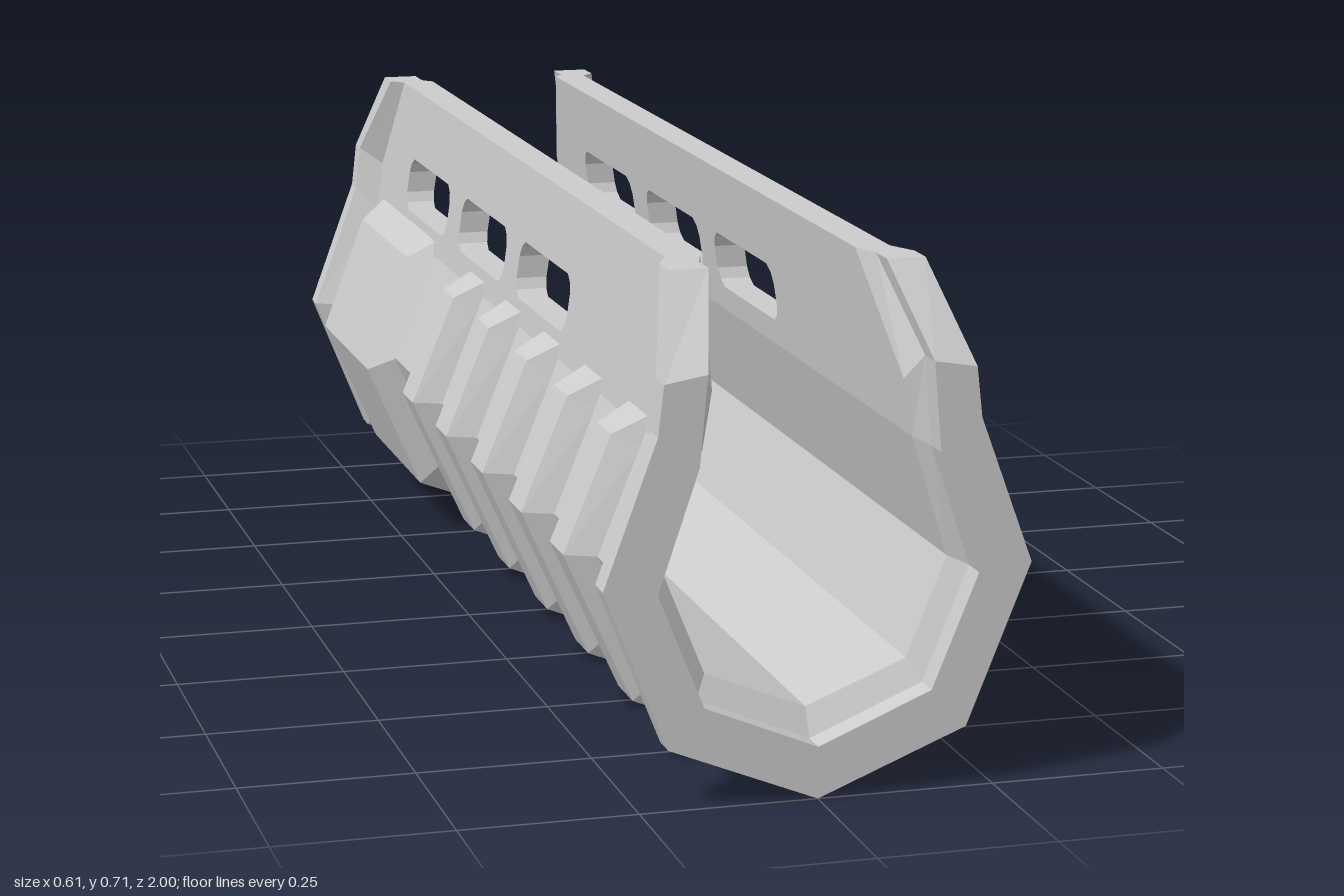
import * as THREE from 'three';

// Half profiles [x, y] from the bottom centre up the +x side
const LIP_OUT = [[0, 0], [0.21, 0.085], [0.3, 0.31], [0.225, 0.515], [0.217, 0.585], [0.18, 0.715]];
const LIP_IN = [[0, 0.073], [0.16, 0.14], [0.225, 0.3], [0.168, 0.47], [0.157, 0.595], [0.125, 0.715]];
const BODY_OUT = [[0, 0.05], [0.18, 0.125], [0.26, 0.31], [0.193, 0.48], [0.182, 0.56], [0.16, 0.715]];
const BODY_IN = [[0, 0.112], [0.143, 0.17], [0.2, 0.31], [0.147, 0.48], [0.134, 0.56], [0.11, 0.715]];
const BASE = [[0, 0.055], [0.178, 0.128], [0.255, 0.31], [0.2, 0.46], [0.185, 0.505]];
const RIB = [[0, 0.013], [0.205, 0.095], [0.303, 0.31], [0.235, 0.475], [0.185, 0.505]];
const BULGE = [[0, 0.003], [0.21, 0.082], [0.298, 0.283], [0.228, 0.47], [0.185, 0.508]];

const material = new THREE.MeshStandardMaterial({ color: 0xcccccc, flatShading: true, side: THREE.DoubleSide });

// Full mirrored row of points at z; the topmost point may sit at its own z
function row(half, z, zTop = z) {
  const right = half.map(([x, y], i) => [x, y, i === half.length - 1 ? zTop : z]);
  const left = right.slice(1).reverse().map(([x, y, pz]) => [-x, y, pz]);
  return [...left, ...right];
}

// Skin of quads across successive rows, plus any extra quads
function skin(name, rows, extraQuads = []) {
  const pos = [];
  const quad = (a, b, c, d) => pos.push(...a, ...b, ...c, ...a, ...c, ...d);
  for (let r = 0; r < rows.length - 1; r++) {
    for (let i = 0; i < rows[r].length - 1; i++) {
      quad(rows[r][i], rows[r + 1][i], rows[r + 1][i + 1], rows[r][i + 1]);
    }
  }
  extraQuads.forEach((q) => quad(...q));
  const geo = new THREE.BufferGeometry();
  geo.setAttribute('position', new THREE.Float32BufferAttribute(pos, 3));
  geo.computeVertexNormals();
  const mesh = new THREE.Mesh(geo, material);
  mesh.name = name;
  return mesh;
}

// Raised end lip; its six rows wrap from one wall surface to the other
function lip(name, rows) {
  const last = rows[0].length - 1;
  const caps = [];
  for (const [a, b, c, d] of [[0, 1, 4, 5], [1, 2, 3, 4]]) {
    caps.push([a, b, c, d].map((k) => rows[k][last]));
    caps.push([d, c, b, a].map((k) => rows[k][0]));
  }
  return skin(name, rows, caps);
}

// Upper wall with three slots, extruded and then leaned inward
function upperWall(name, side) {
  const pts = (list) => list.map(([z, y]) => new THREE.Vector2(-side * z, y));
  const shape = new THREE.Shape(pts([
    [0.94, 0.48], [0.94, 0.56], [0.8, 0.715], [-0.85, 0.715], [-0.94, 0.56], [-0.94, 0.48],
  ]));
  for (const c of [0.21, -0.18, -0.575]) {
    const hole = [];
    for (const [sz, sy] of [[1, 1], [-1, 1], [-1, -1], [1, -1]]) {
      const corner = [[0.153, 0.017], [0.145, 0.033], [0.128, 0.043]];
      if (sz * sy < 0) corner.reverse();
      corner.forEach(([dz, dy]) => hole.push([c + sz * dz, 0.562 + sy * dy]));
    }
    shape.holes.push(new THREE.Path(pts(hole)));
  }
  const geo = new THREE.ExtrudeGeometry(shape, { depth: 1, bevelEnabled: false });
  const p = geo.attributes.position;
  for (let i = 0; i < p.count; i++) {
    const y = p.getY(i);
    const t = (y - 0.48) / 0.235;
    const x = THREE.MathUtils.lerp(0.147 - 0.037 * t, 0.193 - 0.033 * t, p.getZ(i));
    p.setXYZ(i, side * x, y, -side * p.getX(i));
  }
  geo.computeVertexNormals();
  const mesh = new THREE.Mesh(geo, material);
  mesh.name = name;
  return mesh;
}

export function createModel() {
  const group = new THREE.Group();
  group.name = 'handguard';

  // Lower shell, outside and inside
  const out = BODY_OUT.slice(0, 4);
  const inn = BODY_IN.slice(0, 4);
  group.add(skin('lowerShell', [row(out, 0.94), row(out, -0.94), row(inn, -0.94), row(inn, 0.94)]));

  // Slotted upper walls
  group.add(upperWall('leftWall', 1), upperWall('rightWall', -1));

  // End lips
  group.add(lip('frontLip', [
    row(BODY_IN, 0.94, 0.8), row(LIP_IN, 0.96, 0.845), row(LIP_IN, 1, 0.89),
    row(LIP_OUT, 1, 0.89), row(LIP_OUT, 0.96, 0.845), row(BODY_OUT, 0.94, 0.8),
  ]));
  group.add(lip('backLip', [
    row(BODY_OUT, -0.94, -0.85), row(LIP_OUT, -0.965, -0.87), row(LIP_OUT, -1, -0.92),
    row(LIP_IN, -1, -0.92), row(LIP_IN, -0.965, -0.87), row(BODY_IN, -0.94, -0.85),
  ]));

  // Grip ribs
  for (let i = 0; i < 5; i++) {
    const z = 0.765 - i * 0.239;
    group.add(skin(`rib${i + 1}`, [
      row(BASE, z + 0.06), row(RIB, z + 0.037), row(RIB, z - 0.037), row(BASE, z - 0.06),
    ]));
  }

  // Raised rear grip
  group.add(skin('rearGrip', [
    row(BASE, -0.485), row(BULGE, -0.53), row(BULGE, -0.895), row(BASE, -0.95),
  ]));

  return group;
}
